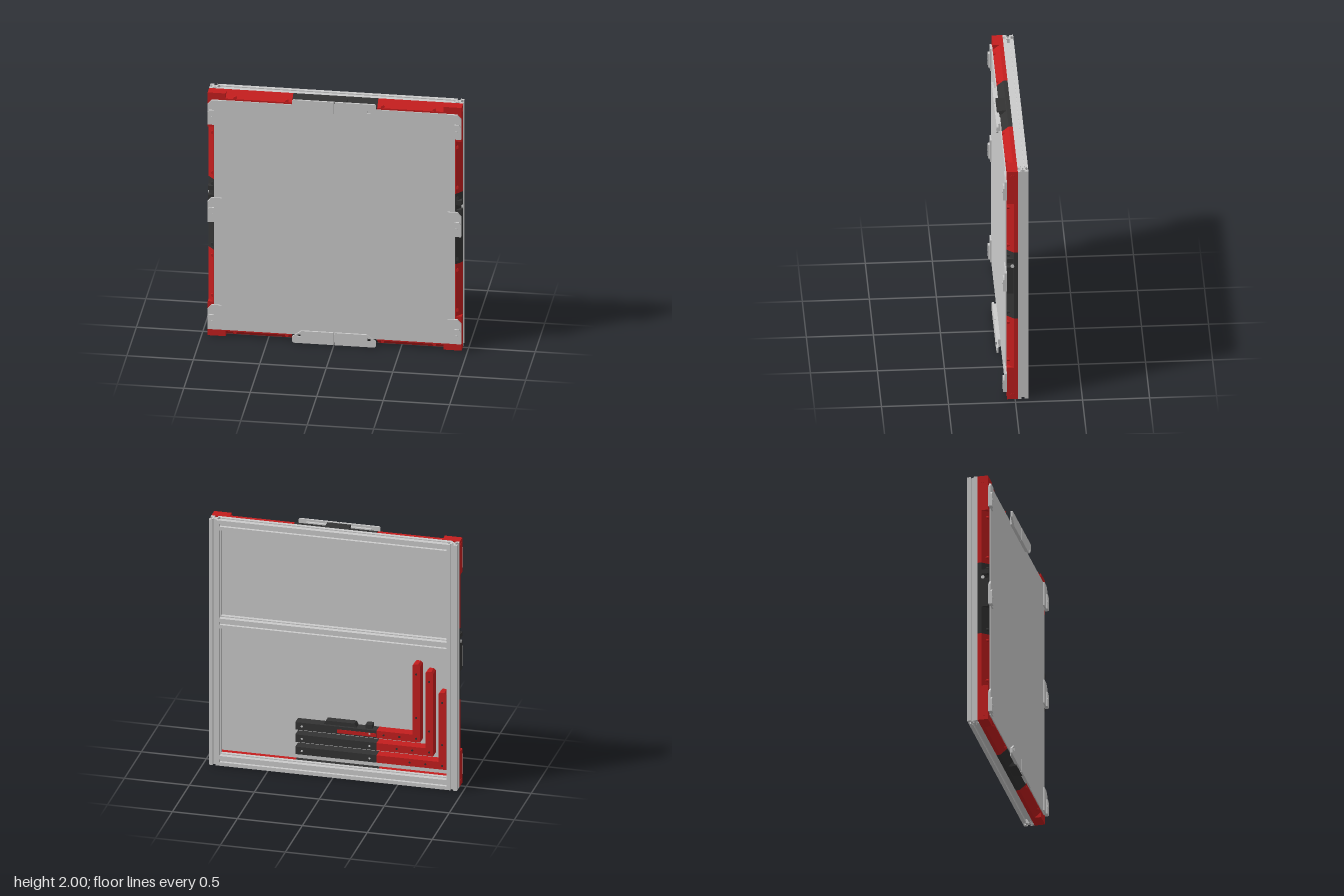
import * as THREE from 'three';

const mat = (color) => new THREE.MeshStandardMaterial({ color, flatShading: true, roughness: 0.7 });
const grey = mat(0xcccccc), red = mat(0xc41e1e), black = mat(0x333333);

function add(parent, name, geo, material, x = 0, y = 0, z = 0) {
  const m = new THREE.Mesh(geo, material);
  m.name = name;
  m.position.set(x, y, z);
  parent.add(m);
  return m;
}
const box = (w, h, d) => new THREE.BoxGeometry(w, h, d);
const shapeOf = (pts) => new THREE.Shape(pts.map(([x, y]) => new THREE.Vector2(x, y)));
const slab = (pts, depth) => new THREE.ExtrudeGeometry(shapeOf(pts), { depth, bevelEnabled: false });

// T-slot aluminium bar, centred, running along local z
function slotBar(length) {
  const side = [[-0.04, 0.04], [-0.011, 0.04], [-0.011, 0.033], [-0.024, 0.033], [-0.011, 0.018],
    [0.011, 0.018], [0.024, 0.033], [0.011, 0.033], [0.011, 0.04]];
  const pts = [];
  for (let k = 0; k < 4; k++) {
    const c = Math.round(Math.cos(k * Math.PI / 2)), s = Math.round(Math.sin(k * Math.PI / 2));
    for (const [x, y] of side) pts.push([x * c + y * s, -x * s + y * c]);
  }
  const shape = shapeOf(pts);
  shape.holes.push(new THREE.Path().absarc(0, 0, 0.008, 0, Math.PI * 2));
  return new THREE.ExtrudeGeometry(shape, { depth: length, bevelEnabled: false, curveSegments: 8 })
    .translate(0, 0, -length / 2);
}

// Frame rail from x = a to b, outer face at y = 0; optionally sloped at the outer front edge
function railGeo(a, b, sloped) {
  const pts = sloped
    ? [[-0.02, -0.06], [0.06, -0.06], [0.06, -0.042], [0.01, 0], [-0.02, 0]]
    : [[-0.02, -0.06], [0.06, -0.06], [0.06, 0], [-0.02, 0]];
  return slab(pts, b - a).rotateY(-Math.PI / 2).translate(b, 0, 0);
}

// One side of the printed frame: rail pieces and screws, mirrored about its middle
function frameSide(parent, name, angle, dist, half, joint, slopeEnd, screws) {
  const g = new THREE.Group();
  g.name = name;
  g.position.y = 1;
  g.rotation.z = angle;
  parent.add(g);
  add(g, 'middleRail', railGeo(-joint, joint, true), black, 0, dist);
  for (const s of [-1, 1]) {
    const seg = (a, b) => [Math.min(a * s, b * s), Math.max(a * s, b * s)];
    add(g, 'endRail', railGeo(...seg(joint, slopeEnd), true), red, 0, dist);
    add(g, 'cornerBlock', railGeo(...seg(slopeEnd, half), false), red, 0, dist);
    for (const u of screws)
      add(g, 'screw', new THREE.CylinderGeometry(0.013, 0.013, 0.03, 12).rotateX(Math.PI / 2),
        u < joint ? black : red, s * u, dist - 0.036, 0.044);
  }
  return g;
}

// Two-part handle plate on its mount, at the middle of a frame side
function handle(g) {
  add(g, 'handleMount', slab([[-0.1, 0.945], [0.1, 0.945], [0.09, 0.995], [-0.09, 0.995]], 0.08), black, 0, 0, 0.005);
  add(g, 'handleBacking', box(0.5, 0.065, 0.018), grey, 0, 0.95, 0.077);
  for (const s of [-1, 1]) {
    const shape = shapeOf([[0.003, 0.9], [0.245, 0.9], [0.315, 0.95], [0.315, 0.99], [0.305, 1], [0.003, 1]]
      .map(([x, y]) => [x * s, y]));
    const hole = [[0.25, 0.922], [0.275, 0.922], [0.275, 0.947], [0.25, 0.947]];
    shape.holes.push(new THREE.Path(hole.map(([x, y]) => new THREE.Vector2(x * s, y))));
    add(g, 'handlePlate', new THREE.ExtrudeGeometry(shape, { depth: 0.014, bevelEnabled: false }), grey, 0, 0, 0.086);
  }
}

// Panel clip on side s, its lower edge at y
function clip(parent, s, y) {
  const g = new THREE.Group();
  g.name = 'panelClip';
  parent.add(g);
  const outline = [[0.855, 0], [0.955, 0], [0.955, 0.16], [0.925, 0.195], [0.85, 0.195], [0.85, 0.005]];
  add(g, 'clipPlate', slab(outline.map(([x, v]) => [x * s, y + v]), 0.016), grey, 0, 0, 0.062);
  add(g, 'clipTab', slab([[0.905, 0], [0.953, 0], [0.953, 0.1], [0.94, 0.118], [0.905, 0.118]]
    .map(([x, v]) => [x * s, y + v]), 0.012), grey, 0, 0, 0.078);
  add(g, 'clipScrew', new THREE.CylinderGeometry(0.011, 0.011, 0.01, 12).rotateX(Math.PI / 2),
    grey, s * 0.92, y + 0.06, 0.088);
}

export function createModel() {
  const root = new THREE.Group();
  root.name = 'framedPanel';

  // Flat front panel
  add(root, 'frontPanel', box(1.81, 1.89, 0.008), grey, 0, 1, 0.064);

  // Slotted bars behind the panel
  const bars = new THREE.Group();
  bars.name = 'rearBars';
  root.add(bars);
  const upright = slotBar(2).rotateX(Math.PI / 2), cross = slotBar(1.75).rotateY(Math.PI / 2);
  for (const s of [-1, 1]) add(bars, 'uprightBar', upright, grey, s * 0.915, 1, -0.06);
  for (const y of [0.04, 1.16, 1.96]) add(bars, 'crossBar', cross, grey, 0, y, -0.06);

  // Printed frame around the panel
  for (const [name, angle] of [['topFrame', 0], ['bottomFrame', Math.PI]])
    handle(frameSide(root, name, angle, 1, 0.895, 0.32, 0.82, [0.36, 0.75]));
  for (const s of [-1, 1]) {
    frameSide(root, 'sideFrame', -s * Math.PI / 2, 0.955, 1, 0.29, 0.72, [0.25, 0.34, 0.67]);
    // Latch and bolts on the side
    add(root, 'latchBody', box(0.05, 0.23, 0.06), black, s * 0.929, 1.045, 0.032);
    add(root, 'latchTop', box(0.05, 0.035, 0.06), black, s * 0.929, 1.215, 0.032);
    for (const y of [0.04, 1.17, 1.96])
      add(root, 'sideBolt', new THREE.CylinderGeometry(0.014, 0.014, 0.006, 12).rotateZ(Math.PI / 2),
        y === 1.17 ? grey : red, s * 0.954, y, 0.02);
    for (const y of [0.065, 0.948, 1.75]) clip(root, s, y);
  }

  // Spare corner pieces and bars nested in the lower corner, behind the panel
  const spares = new THREE.Group();
  spares.name = 'spareParts';
  root.add(spares);
  const dot = new THREE.CylinderGeometry(0.008, 0.008, 0.004, 10).rotateX(Math.PI / 2);
  [0.96, 0.91, 0.75].forEach((top, i) => {
    const x = -0.65 - i * 0.1, y = 0.325 - i * 0.1, w = 0.06;
    const end = -0.315;
    add(spares, 'spareCorner', slab([[x, y], [end, y], [end, y + w], [x + w, y + w], [x + w, top - 0.015],
      [x + w - 0.015, top], [x + 0.015, top], [x, top - 0.015]], 0.08), red, 0, 0, -0.02);
    add(spares, 'spareBar', box(0.625, w, 0.08), black, -0.0025, y + w / 2, 0.02);
    for (const u of [0.03, 0.16, 0.28]) add(spares, 'screwHole', dot, black, x + u, y + 0.03, -0.021);
    for (const v of [0.2, top - y - 0.08]) add(spares, 'screwHole', dot, black, x + 0.03, y + v, -0.021);
    for (const u of [-0.26, 0.26]) add(spares, 'screwHole', dot, grey, u, y + 0.03, -0.021);
  });
  // Raised middle of the uppermost spare bar, its catch, and the inlaid end of the corner piece
  add(spares, 'spareLatch', slab([[-0.16, 0.38], [0.1, 0.38], [0.08, 0.415], [-0.14, 0.415]], 0.06), black);
  add(spares, 'spareCatch', box(0.05, 0.035, 0.06), black, -0.25, 0.4, 0.03);
  add(spares, 'spareInlay', box(0.3, 0.03, 0.004), red, -0.16, 0.348, -0.0205);

  return root;
}
